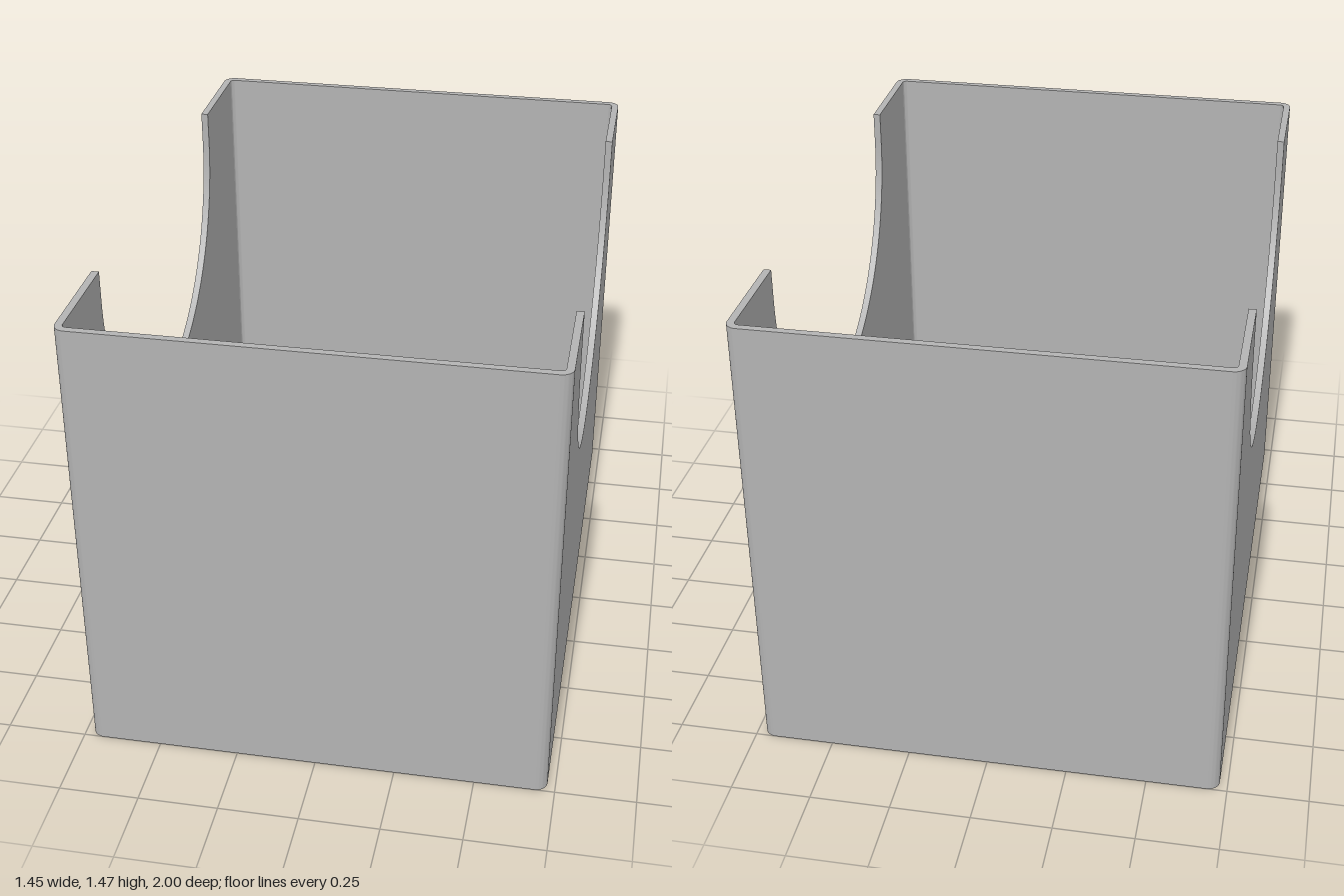
import * as THREE from 'three';
import { toCreasedNormals } from 'three/addons/utils/BufferGeometryUtils.js';

const W = 0.725, L = 1, H = 1.47; // half width, half length, height
const T = 0.023, R = 0.037;       // wall thickness, corner radius
const CUT = 0.63, CUT_Y = 1.365;  // side cutout radius and centre height
const CX = W - R, CZ = L - R;     // corner centres

const extrude = (shape, depth, curveSegments) =>
  toCreasedNormals(new THREE.ExtrudeGeometry(shape, { depth, curveSegments, bevelEnabled: false }), 0.5);

// End wall together with its two rounded corners, standing at -z
function endWallGeometry() {
  const s = new THREE.Shape();
  s.moveTo(W, CZ);
  s.absarc(CX, CZ, R, 0, Math.PI / 2, false);
  s.absarc(-CX, CZ, R, Math.PI / 2, Math.PI, false);
  s.lineTo(-W + T, CZ);
  s.absarc(-CX, CZ, R - T, Math.PI, Math.PI / 2, true);
  s.absarc(CX, CZ, R - T, Math.PI / 2, 0, true);
  s.closePath();
  return extrude(s, H, 8).rotateX(-Math.PI / 2);
}

// Side wall with the round finger cutout
function sideWallGeometry() {
  const s = new THREE.Shape();
  s.moveTo(-CZ, 0);
  s.lineTo(CZ, 0);
  s.lineTo(CZ, H);
  s.lineTo(CUT, H);
  s.lineTo(CUT, CUT_Y);
  s.absarc(0, CUT_Y, CUT, 0, -Math.PI, true);
  s.lineTo(-CUT, H);
  s.lineTo(-CZ, H);
  s.closePath();
  return extrude(s, T, 64).rotateY(Math.PI / 2).translate(W - T, 0, 0);
}

// Floor filling the space between the walls
function floorGeometry() {
  const s = new THREE.Shape(), r = R - T;
  s.moveTo(CX + r, -CZ);
  s.absarc(CX, CZ, r, 0, Math.PI / 2, false);
  s.absarc(-CX, CZ, r, Math.PI / 2, Math.PI, false);
  s.absarc(-CX, -CZ, r, Math.PI, Math.PI * 1.5, false);
  s.absarc(CX, -CZ, r, Math.PI * 1.5, Math.PI * 2, false);
  return extrude(s, T, 8).rotateX(-Math.PI / 2);
}

export function createModel() {
  const group = new THREE.Group();
  group.name = 'openBox';
  const grey = new THREE.MeshStandardMaterial({ color: 0xb3b3b3 });
  grey.name = 'grey';

  const add = (name, geometry, turn = 0) => {
    const mesh = new THREE.Mesh(geometry, grey);
    mesh.name = name;
    mesh.rotation.y = turn;
    group.add(mesh);
  };

  const end = endWallGeometry(), side = sideWallGeometry();
  add('floor', floorGeometry());
  add('backWall', end);
  add('frontWall', end, Math.PI);
  add('leftWall', side);
  add('rightWall', side, Math.PI);
  return group;
}
